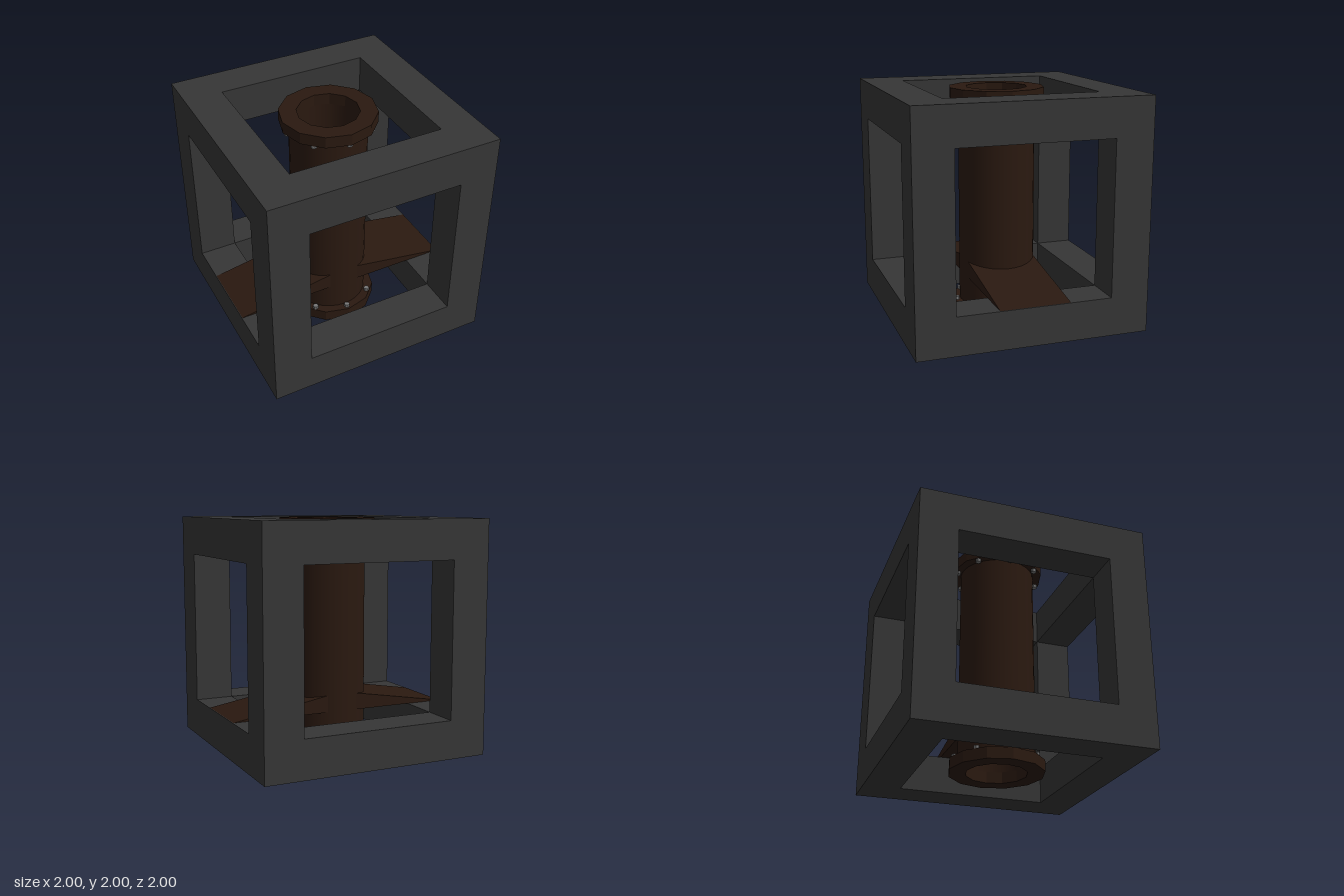
import * as THREE from 'three';
import { mergeGeometries } from 'three/addons/utils/BufferGeometryUtils.js';

const V = (x, y) => new THREE.Vector2(x, y);
const W = 2 / 3; // half width of each window

function squarePath(Path, h) {
  const p = new Path();
  p.moveTo(-h, -h); p.lineTo(h, -h); p.lineTo(h, h); p.lineTo(-h, h); p.closePath();
  return p;
}

// One side of the cube frame: a windowed panel and the four walls of its opening
function framePanel() {
  const shape = squarePath(THREE.Shape, 1);
  shape.holes.push(squarePath(THREE.Path, W));
  const parts = [new THREE.ShapeGeometry(shape).translate(0, 0, 1)];
  for (let k = 0; k < 4; k++) {
    parts.push(new THREE.PlaneGeometry(1 - W, 2 * W)
      .rotateY(-Math.PI / 2)
      .translate(W, 0, (1 + W) / 2)
      .rotateZ(k * Math.PI / 2));
  }
  return mergeGeometries(parts);
}

export function createModel() {
  const model = new THREE.Group();
  const dark = new THREE.MeshStandardMaterial({ color: 0x363636 });
  const brown = new THREE.MeshStandardMaterial({ color: 0x2a1910 });
  const brownFlat = new THREE.MeshStandardMaterial({ color: 0x2a1910, flatShading: true });
  const steel = new THREE.MeshStandardMaterial({ color: 0x777777, flatShading: true });

  const add = (name, geometry, material, parent = model) => {
    const mesh = new THREE.Mesh(geometry, material);
    mesh.name = name;
    parent.add(mesh);
    return mesh;
  };

  // Cube frame
  const panels = [];
  for (let k = 0; k < 4; k++) panels.push(framePanel().rotateY(k * Math.PI / 2));
  for (const s of [-1, 1]) panels.push(framePanel().rotateX(s * Math.PI / 2));
  add('cubeFrame', mergeGeometries(panels).translate(0, 1, 0), dark);

  // Vertical pipe: outer wall and bore
  const R = 0.333, BORE = 0.265, T = 0.1;
  add('pipeWall', new THREE.LatheGeometry([V(R, T), V(R, 2 - T)], 32), brown);
  add('pipeBore', new THREE.LatheGeometry([V(BORE, 2 - T), V(BORE, T)], 12), brown);

  // Flange at each end, bolted on its inner side
  const F = 0.415;
  const ring = new THREE.LatheGeometry(
    [V(BORE, 0), V(F, 0), V(F, T), V(BORE, T), V(BORE, 0)], 12);
  const bolt = new THREE.CylinderGeometry(0.025, 0.025, 0.03, 6);
  for (const top of [false, true]) {
    const end = new THREE.Group();
    end.name = top ? 'topFlange' : 'bottomFlange';
    add('flangeRing', ring, brownFlat, end);
    for (let k = 0; k < 8; k++) {
      const a = k * Math.PI / 4;
      add('bolt', bolt, steel, end)
        .position.set(0.375 * Math.sin(a), T + 0.015, 0.375 * Math.cos(a));
    }
    if (top) {
      end.rotation.x = Math.PI;
      end.position.y = 2;
    }
    model.add(end);
  }

  // Shallow ridged cross plate, sloping down to both sides of the frame
  const ridge = new THREE.Shape([V(-0.995, 0.335), V(0.995, 0.335), V(0, 0.505)]);
  const plate = new THREE.ExtrudeGeometry(ridge, { depth: 0.61, bevelEnabled: false });
  add('crossPlate', plate.translate(0, 0, -0.305), brownFlat);

  return model;
}
